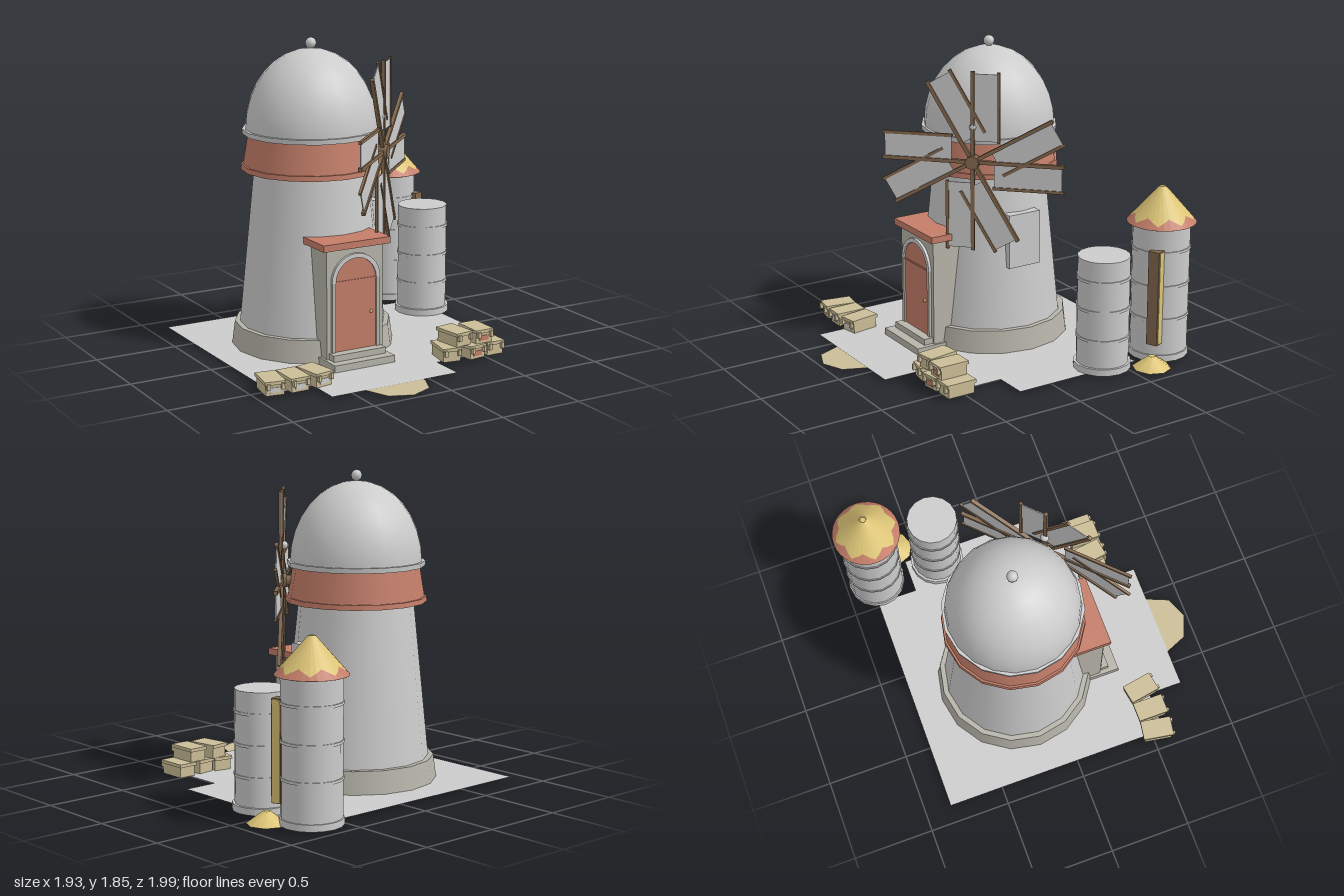
import * as THREE from 'three';

const mat = (name, color, side = THREE.FrontSide) => {
  const m = new THREE.MeshStandardMaterial({ color, side });
  m.name = name;
  return m;
};

export function createModel() {
  const plaster = mat('light grey plaster', 0xcccccc, THREE.DoubleSide);
  const stone = mat('warm grey stone', 0xb7b5aa);
  const red = mat('terracotta', 0xc47e69, THREE.DoubleSide);
  const straw = mat('straw yellow', 0xdcc476, THREE.DoubleSide);
  const wood = mat('brown wood', 0x84694f);
  const tan = mat('tan crate wood', 0xcbbd97, THREE.DoubleSide);

  const model = new THREE.Group();
  const add = (parent, name, geo, material, x = 0, y = 0, z = 0) => {
    const m = new THREE.Mesh(geo, material);
    m.name = name;
    m.position.set(x, y, z);
    parent.add(m);
    return m;
  };
  const group = (name, x = 0, y = 0, z = 0, parent = model) => {
    const g = new THREE.Group();
    g.name = name;
    g.position.set(x, y, z);
    parent.add(g);
    return g;
  };
  const box = (parent, name, w, h, d, material, x, y, z) =>
    add(parent, name, new THREE.BoxGeometry(w, h, d), material, x, y, z);
  // round drum from y0 to y1
  const drum = (parent, name, r0, r1, y0, y1, material, sides = 16) =>
    add(parent, name, new THREE.CylinderGeometry(r1, r0, y1 - y0, sides), material, 0, (y0 + y1) / 2, 0);

  // Ground slab
  const plan = [[-0.894, -0.84], [0.524, -0.84], [0.524, -0.587], [0.735, -0.587], [0.735, 0.228], [0.53, 0.228],
    [0.53, 0.58], [0.175, 0.58], [0.175, 0.794], [-0.645, 0.794], [-0.645, 0.58], [-0.894, 0.58]];
  const ground = new THREE.ShapeGeometry(new THREE.Shape(plan.map(([x, z]) => new THREE.Vector2(x, -z))));
  ground.rotateX(-Math.PI / 2);
  add(model, 'ground', ground, plaster, 0, 0.014, 0);
  add(model, 'doormat', new THREE.CylinderGeometry(0.19, 0.17, 0.01, 8), tan, -0.233, 0.005, 0.793);

  // Tower
  const tower = group('tower', -0.233, 0, -0.18);
  drum(tower, 'foundation', 0.487, 0.468, 0.01, 0.15, stone);
  drum(tower, 'towerWall', 0.45, 0.34, 0.02, 1.1, plaster);
  drum(tower, 'bandLip', 0.42, 0.417, 1.08, 1.11, red);
  drum(tower, 'band', 0.405, 0.375, 1.11, 1.29, red);
  drum(tower, 'domeRim', 0.407, 0.41, 1.29, 1.32, plaster);
  const dome = new THREE.SphereGeometry(0.392, 20, 8, 0, Math.PI * 2, 0, Math.PI / 2);
  dome.scale(1, 0.475 / 0.392, 1);
  add(tower, 'dome', dome, plaster, 0, 1.315, 0);
  add(tower, 'finial', new THREE.SphereGeometry(0.033, 12, 8), plaster, 0, 1.82, 0);
  box(tower, 'sideHatch', 0.1, 0.33, 0.215, plaster, 0.357, 0.69, 0.008);

  // Porch with arched door
  const porch = group('porch', -0.232, 0, 0);
  box(porch, 'porchWalls', 0.372, 0.7, 0.28, stone, 0, 0.36, 0.19);
  box(porch, 'porchRoof', 0.442, 0.04, 0.32, red, 0, 0.725, 0.2);
  box(porch, 'lowerStep', 0.4, 0.045, 0.2, stone, 0, 0.033, 0.35);
  box(porch, 'upperStep', 0.345, 0.04, 0.16, stone, 0, 0.073, 0.31);
  const doorShape = new THREE.Shape();
  doorShape.moveTo(-0.134, 0.095).lineTo(0.134, 0.095).lineTo(0.134, 0.51);
  doorShape.absarc(0, 0.51, 0.134, 0, Math.PI, false);
  const thin = { depth: 0.008, bevelEnabled: false, curveSegments: 8 };
  add(porch, 'door', new THREE.ExtrudeGeometry(doorShape, thin), red, 0, 0, 0.329);
  const arch = new THREE.Shape();
  arch.absarc(0, 0.51, 0.16, 0, Math.PI, false);
  arch.absarc(0, 0.51, 0.134, Math.PI, 0, true);
  add(porch, 'doorArch', new THREE.ExtrudeGeometry(arch, { ...thin, depth: 0.018 }), plaster, 0, 0, 0.329);
  for (const s of [-1, 1]) box(porch, 'doorJamb', 0.024, 0.415, 0.018, stone, s * 0.147, 0.303, 0.338);
  box(porch, 'doorRail', 0.268, 0.01, 0.008, red, 0, 0.51, 0.338);
  add(porch, 'doorKnob', new THREE.SphereGeometry(0.01, 8, 6), straw, 0.102, 0.31, 0.342);

  // Sail wheel, turned to face the front left corner
  const wheel = group('sailWheel', 0.077, 1.195, 0.13);
  wheel.rotation.y = Math.PI / 4;
  const hub = (name, r, len, z, material) => {
    const m = add(wheel, name, new THREE.CylinderGeometry(r, r, len, 8), material, 0, 0, z);
    m.rotation.x = Math.PI / 2;
  };
  hub('hub', 0.042, 0.06, 0, wood);
  hub('axle', 0.03, 0.14, -0.07, wood);
  add(wheel, 'counterweight', new THREE.SphereGeometry(0.026, 8, 6), plaster, 0, 0.21, -0.01);
  for (const deg of [0, 30, 90, 120, 180, 210, 270, 300]) {
    const sail = group('sail', 0, 0, 0, wheel);
    sail.rotation.z = THREE.MathUtils.degToRad(deg);
    box(sail, 'sailSpar', 0.022, 0.54, 0.022, wood, 0, 0.27, 0);
    box(sail, 'sailRail', 0.018, 0.42, 0.016, wood, 0.153, 0.33, 0);
    box(sail, 'sailCloth', 0.15, 0.4, 0.006, plaster, 0.077, 0.327, 0);
  }

  // Silos
  const silo = (name, z, r, foot, top, bands) => {
    const g = group(name, 0.677, 0, z);
    drum(g, 'siloFoot', foot, foot, 0.015, 0.055, plaster);
    drum(g, 'siloBody', r, r, 0.05, top, plaster);
    for (const y of bands) drum(g, 'siloHoop', r + 0.006, r + 0.006, y - 0.008, y + 0.008, plaster);
    return g;
  };
  silo('shortSilo', -0.386, 0.155, 0.17, 0.705, [0.22, 0.4, 0.58]);
  const tall = silo('tallSilo', -0.8, 0.172, 0.18, 0.85, [0.275, 0.48, 0.69]);

  // Conical thatch: wavy border splits red eaves from yellow top
  const n = 32, eaves = [], thatch = [];
  const onCone = (r, i) => {
    const a = (i / n) * Math.PI * 2;
    return [r * Math.sin(a), 1.05 - (r - 0.022) * 0.21 / 0.184, r * Math.cos(a)];
  };
  const edge = i => 0.174 + 0.016 * Math.cos((i % 4) * Math.PI / 2);
  const quad = (out, a, b, c, d) => out.push(...a, ...b, ...c, ...a, ...c, ...d);
  for (let i = 0; i < n; i++) {
    quad(eaves, onCone(0.206, i), onCone(0.206, i + 1), onCone(edge(i + 1), i + 1), onCone(edge(i), i));
    quad(thatch, onCone(edge(i), i), onCone(edge(i + 1), i + 1), onCone(0.022, i + 1), onCone(0.022, i));
  }
  for (const [name, pts, m] of [['roofEaves', eaves, red], ['roofThatch', thatch, straw]]) {
    const g = new THREE.BufferGeometry();
    g.setAttribute('position', new THREE.Float32BufferAttribute(pts, 3));
    g.computeVertexNormals();
    add(tall, name, g, m);
  }
  drum(tall, 'roofCap', 0.022, 0.018, 1.045, 1.052, straw, 10);
  drum(tall, 'roofSoffit', 0.204, 0.204, 0.838, 0.841, red);

  // Grain chute and spilled pile
  const chute = group('grainChute', 0.8, 0.42, -0.672);
  chute.rotation.y = Math.PI / 8;
  box(chute, 'chuteFrame', 0.07, 0.58, 0.06, wood, 0, 0, 0);
  box(chute, 'chuteGrain', 0.006, 0.57, 0.045, straw, 0.037, 0, 0);
  add(model, 'grainPile', new THREE.CylinderGeometry(0.022, 0.115, 0.07, 8), straw, 0.847, 0.045, -0.624);

  // Crates: x, y, z, turn, label
  const crates = [[-0.89, 0.014, 0.53, -0.165, plaster], [-0.752, 0.014, 0.54, 0, plaster], [-0.61, 0.014, 0.53, 0.17, plaster],
    [0.27, 0.014, 0.53, -0.17, null], [0.41, 0.014, 0.55, 0.12, red], [0.55, 0.014, 0.54, 0, null],
    [0.325, 0.098, 0.53, 0.14, null], [0.47, 0.098, 0.54, 0, red]];
  for (const [x, y, z, turn, label] of crates) {
    const c = group('crate', x, y, z);
    c.rotation.y = turn;
    box(c, 'crateBody', 0.108, 0.066, 0.17, tan, 0, 0.033, 0);
    box(c, 'crateLid', 0.12, 0.02, 0.19, tan, 0, 0.073, 0);
    for (const s of [-1, 1]) box(c, 'crateLatch', 0.018, 0.035, 0.02, tan, s * 0.042, 0.055, 0.098);
    if (label) box(c, 'crateLabel', 0.06, 0.03, 0.006, label, 0, 0.032, 0.087);
  }
  return model;
}
